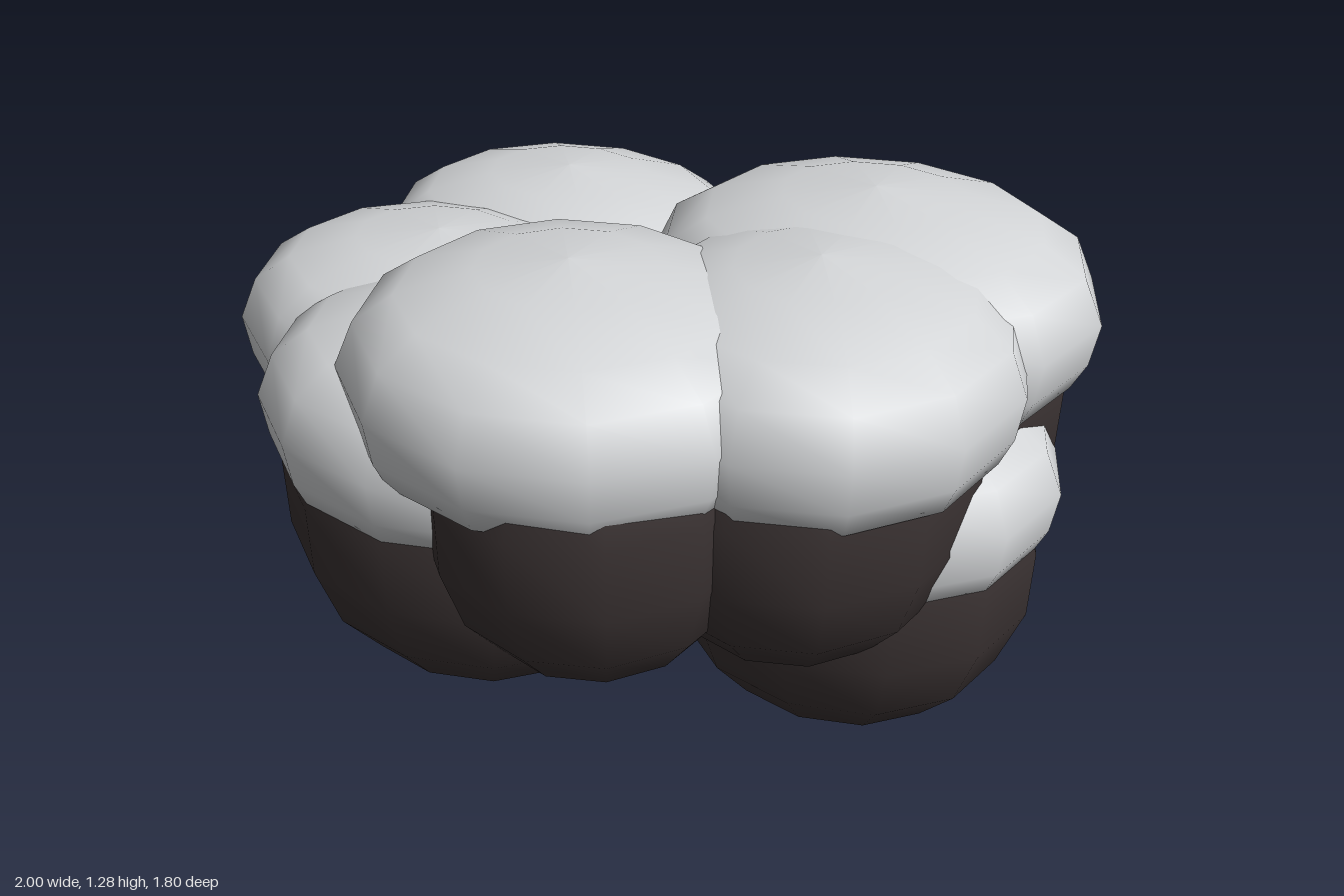
import * as THREE from 'three';

const paleGrey = new THREE.MeshStandardMaterial({ color: 0xd3d5d7 });
paleGrey.name = 'paleGrey';
const darkBrown = new THREE.MeshStandardMaterial({ color: 0x3a3232 });
darkBrown.name = 'darkBrown';

// Profiles: radius as a fraction, height above the lobe's lowest point
const BASE = [[0, 0], [0.31, 0.03], [0.61, 0.115], [0.81, 0.225], [0.925, 0.38], [0.93, 0.55], [0.86, 0.65]];
const CAP = [[0.55, 0.575], [0.91, 0.555], [0.97, 0.62], [1, 0.72], [0.91, 0.82], [0.73, 0.88], [0.4, 0.93], [0, 0.95]];

// One turned part, placed at x, z with its own radii
function turned(profile, material, name, [x, z, rx, rz]) {
  const points = profile.map(([r, y]) => new THREE.Vector2(r, y));
  const mesh = new THREE.Mesh(new THREE.LatheGeometry(points, 12), material);
  mesh.name = name;
  mesh.position.set(x, 0, z);
  mesh.scale.set(rx, 1, rz);
  return mesh;
}

// A rounded dark body with a soft pale cushion on top
function lobe(name, y, cap, body = cap) {
  const group = new THREE.Group();
  group.name = name;
  group.add(turned(BASE, darkBrown, 'lobeBody', body), turned(CAP, paleGrey, 'lobeCap', cap));
  group.position.y = y;
  return group;
}

export function createModel() {
  const model = new THREE.Group();
  model.name = 'lobedCluster';
  model.add(
    // upper tier, with bodies slimmer than their caps
    lobe('upperFrontLobe', 0.33, [0.025, 0.43, 0.495, 0.47], [0.1, 0.45, 0.41, 0.45]),
    lobe('upperLeftFrontLobe', 0.32, [0.475, 0.18, 0.45, 0.48], [0.46, 0.2, 0.43, 0.47]),
    lobe('upperLeftBackLobe', 0.335, [0.475, -0.17, 0.525, 0.46], [0.5, -0.17, 0.475, 0.41]),
    // middle tier
    lobe('middleRightBackLobe', 0.17, [-0.38, -0.35, 0.51, 0.43], [-0.37, -0.33, 0.46, 0.42]),
    lobe('middleRightLobe', 0.16, [-0.49, 0.1, 0.51, 0.42], [-0.48, 0.1, 0.495, 0.42]),
    lobe('middleFrontLobe', 0.17, [-0.24, 0.4, 0.485, 0.425]),
    // lower tier
    lobe('lowerLeftLobe', 0, [0.515, 0, 0.48, 0.43]),
    lobe('lowerBackLeftLobe', 0.015, [0.34, -0.4, 0.49, 0.44], [0.34, -0.4, 0.47, 0.44]),
    lobe('lowerBackLobe', 0, [-0.13, -0.45, 0.51, 0.455]),
  );
  return model;
}
